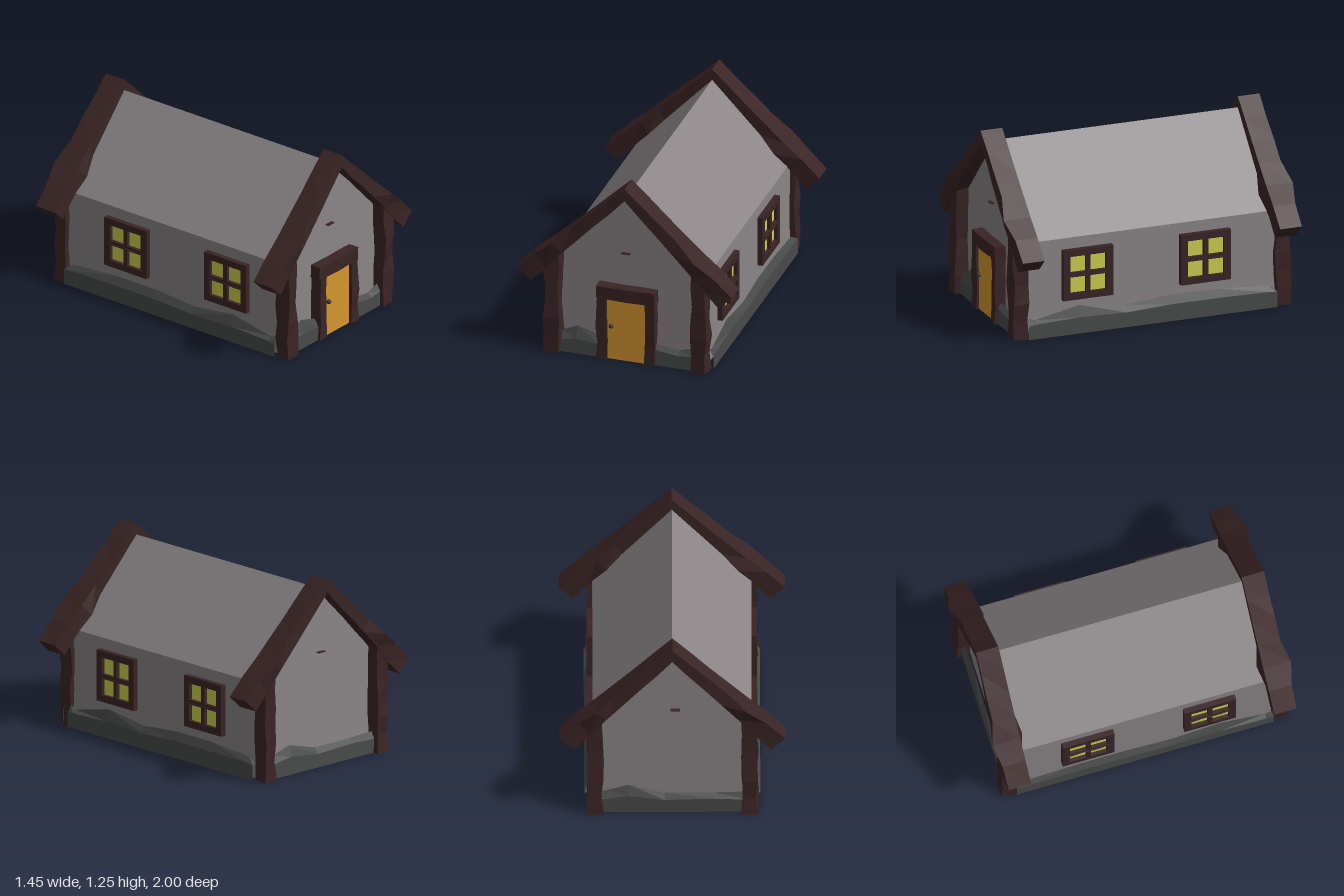
import * as THREE from 'three';

const mat = (name, color, side = THREE.FrontSide) =>
  Object.assign(new THREE.MeshStandardMaterial({ color, side }), { name });

// Faceted normals
function facet(geo) {
  const g = geo.index ? geo.toNonIndexed() : geo;
  g.computeVertexNormals();
  return g;
}

// Repeatable noise in -1..1 from a position
function noise(x, y, z, k) {
  const s = Math.sin(x * 127.1 + y * 311.7 + z * 74.7 + k * 53.3) * 43758.5453;
  return (s - Math.floor(s)) * 2 - 1;
}

// Moves every vertex by a rule (x, y, z) => [x, y, z]
function warp(geo, rule) {
  const p = geo.attributes.position;
  for (let i = 0; i < p.count; i++) p.setXYZ(i, ...rule(p.getX(i), p.getY(i), p.getZ(i)));
  return facet(geo);
}

// Rough-hewn timber between two corners, cut into segments along x and y
function timber(x0, x1, y0, y1, z0, z1, nx, ny, amp) {
  const g = new THREE.BoxGeometry(x1 - x0, y1 - y0, z1 - z0, nx, ny, 1);
  g.translate((x0 + x1) / 2, (y0 + y1) / 2, (z0 + z1) / 2);
  const r = (v) => Math.round(v * 1000) / 1000;
  return warp(g, (x, y, z) => {
    const n = (k) => noise(r(x), r(y), r(z), k) * amp;
    const end = y < 0.001;
    return [x + n(1), end ? 0 : y + n(2) * 0.6, z + n(3)];
  });
}

// Open surface through rows of points
function sheet(rows) {
  const w = rows[0].length, index = [];
  for (let i = 0; i < rows.length - 1; i++)
    for (let j = 0; j < w - 1; j++) {
      const a = i * w + j, b = a + w;
      index.push(a, b, a + 1, a + 1, b, b + 1);
    }
  const g = new THREE.BufferGeometry();
  g.setAttribute('position', new THREE.Float32BufferAttribute(rows.flat(2), 3));
  g.setIndex(index);
  return facet(g);
}

export function createModel() {
  const house = new THREE.Group();
  house.name = 'cottage';
  const plaster = mat('plaster grey', 0x8b8587, THREE.DoubleSide);
  const wood = mat('dark wood', 0x3a2425);
  const stone = mat('foundation stone', 0x494a4a, THREE.DoubleSide);
  const doorPaint = mat('door orange', 0xd6952f);
  const glow = mat('window yellow', 0xcdd04f);
  const iron = mat('knob iron', 0x353535);

  const add = (name, geo, material, parent = house) => {
    const m = new THREE.Mesh(geo, material);
    m.name = name;
    parent.add(m);
    return m;
  };

  // Side walls and roof as one folded shell, open below
  const W = 0.51, L = 0.87;
  const profile = [[W, 0], [W, 0.64], [0, 1.18], [-W, 0.64], [-W, 0]];
  add('wallsAndRoof', sheet([L, -L].map((z) => profile.map(([x, y]) => [x, y, z]))), plaster);

  // Gable walls
  const gable = new THREE.Shape(profile.map(([x, y]) => new THREE.Vector2(x, y)));
  add('frontGable', new THREE.ShapeGeometry(gable), plaster).position.z = L;
  const back = add('backGable', new THREE.ShapeGeometry(gable), plaster);
  back.rotation.y = Math.PI;
  back.position.z = -L;

  // Gable rafters: one mitred, chipped beam per end, knotted near the eaves
  for (const s of [1, -1]) {
    const g = warp(new THREE.BoxGeometry(2, 1, 1, 12, 1, 1), (x, y, z) => {
      const t = Math.abs(x), top = y > 0, outer = z * s > 0;
      const inside = t > 0.01 && t < 0.99;
      const knot = Math.abs(t - 4 / 6) < 0.01;
      const chip = inside ? noise(Math.round(t * 6), top ? 1 : 0, outer ? 1 : 0, 7) * 0.01 : 0;
      const px = t * (top ? 0.725 : 0.635);
      const py = (top ? 1.255 : 1.17) - 0.67 * t + chip;
      let pz = outer ? 0.965 + chip * 0.7 : 0.815;
      if (knot && top) pz = outer ? 1.0 : 0.815;
      if (knot && !top && !outer) pz = 0.785;
      return [Math.sign(x) * px, py, pz * s];
    });
    add(s > 0 ? 'frontRafters' : 'backRafters', g, wood);
  }

  // Corner posts
  for (const sx of [1, -1])
    for (const sz of [1, -1]) {
      const xs = [0.447 * sx, 0.545 * sx].sort((a, b) => a - b);
      const zs = [0.86 * sz, 0.955 * sz].sort((a, b) => a - b);
      add('cornerPost', timber(...xs, 0, 0.73, ...zs, 1, 6, 0.011), wood);
    }

  // Stone footing: points are [along, shoulder height, top height]
  const footing = (name, pts, place) =>
    add(name, sheet(pts.map(([a, low, top]) =>
      [place(a, 0, 0.055), place(a, low, 0.055), place(a, top, 0.028)])), stone);
  const sidePts = [[0.86, 0.09, 0.14], [0.81, 0.1, 0.12], [0.5, 0.11, 0.185], [0.18, 0.1, 0.145],
    [-0.13, 0.115, 0.17], [-0.45, 0.115, 0.17], [-0.8, 0.11, 0.145], [-0.86, 0.105, 0.11]];
  for (const s of [1, -1])
    footing(s > 0 ? 'leftFooting' : 'rightFooting', sidePts, (z, y, o) => [s * (W + o), y, z]);
  const frontPlace = (x, y, o) => [x, y, L + o];
  footing('frontFootingRight', [[-0.54, 0.09, 0.13], [-0.445, 0.09, 0.14], [-0.34, 0.105, 0.19],
    [-0.195, 0.09, 0.145]], frontPlace);
  footing('frontFootingLeft', [[0.195, 0.11, 0.14], [0.35, 0.09, 0.12], [0.445, 0.1, 0.15],
    [0.54, 0.1, 0.15]], frontPlace);
  footing('backFooting', [[0.54, 0.09, 0.12], [0.42, 0.1, 0.15], [0.28, 0.12, 0.19], [0.05, 0.09, 0.13],
    [-0.25, 0.1, 0.13], [-0.54, 0.09, 0.14]], (x, y, o) => [x, y, -L - o]);

  // Windows: four-pane frames with a glowing plate behind
  const rect = (P, x0, x1, y0, y1) => new P([[x0, y0], [x1, y0], [x1, y1], [x0, y1]]
    .map(([x, y]) => new THREE.Vector2(x, y)));
  const frame = rect(THREE.Shape, -0.173, 0.173, -0.17, 0.17);
  for (const [a, b] of [[-0.125, -0.015], [0.015, 0.125]])
    for (const [c, d] of [[-0.125, -0.015], [0.015, 0.125]])
      frame.holes.push(rect(THREE.Path, a, b, c, d));
  const frameGeo = new THREE.ExtrudeGeometry(frame, { depth: 0.038, bevelEnabled: false });
  const sillGeo = timber(-0.14, 0.14, -0.16, -0.122, 0.02, 0.042, 5, 1, 0.006);
  for (const s of [1, -1])
    for (const z of [0.44, -0.375]) {
      const win = new THREE.Group();
      win.name = 'window';
      win.position.set(s * (W - 0.002), 0.395, z);
      win.rotation.y = s * Math.PI / 2;
      add('windowFrame', frameGeo, wood, win);
      add('windowSill', sillGeo, wood, win).position.y = -0.003;
      add('windowPanes', new THREE.BoxGeometry(0.27, 0.27, 0.008), glow, win).position.z = 0.01;
      house.add(win);
    }

  // Door with rough frame and knob
  add('doorJambRight', timber(-0.197, -0.13, 0, 0.45, 0.86, 0.943, 1, 4, 0.007), wood);
  add('doorJambLeft', timber(0.125, 0.192, 0, 0.45, 0.86, 0.943, 1, 4, 0.007), wood);
  add('doorLintel', timber(-0.2, 0.195, 0.43, 0.52, 0.86, 0.945, 4, 1, 0.005), wood);
  add('door', new THREE.BoxGeometry(0.255, 0.43, 0.05), doorPaint).position.set(-0.003, 0.215, 0.9);
  add('doorKnob', new THREE.SphereGeometry(0.016, 10, 8), iron).position.set(-0.1, 0.24, 0.937);

  // Thin pegs in the gables
  for (const s of [1, -1])
    add('gablePeg', new THREE.BoxGeometry(0.06, 0.005, 0.03), wood).position.set(-0.02, 0.75, s * 0.88);

  return house;
}
